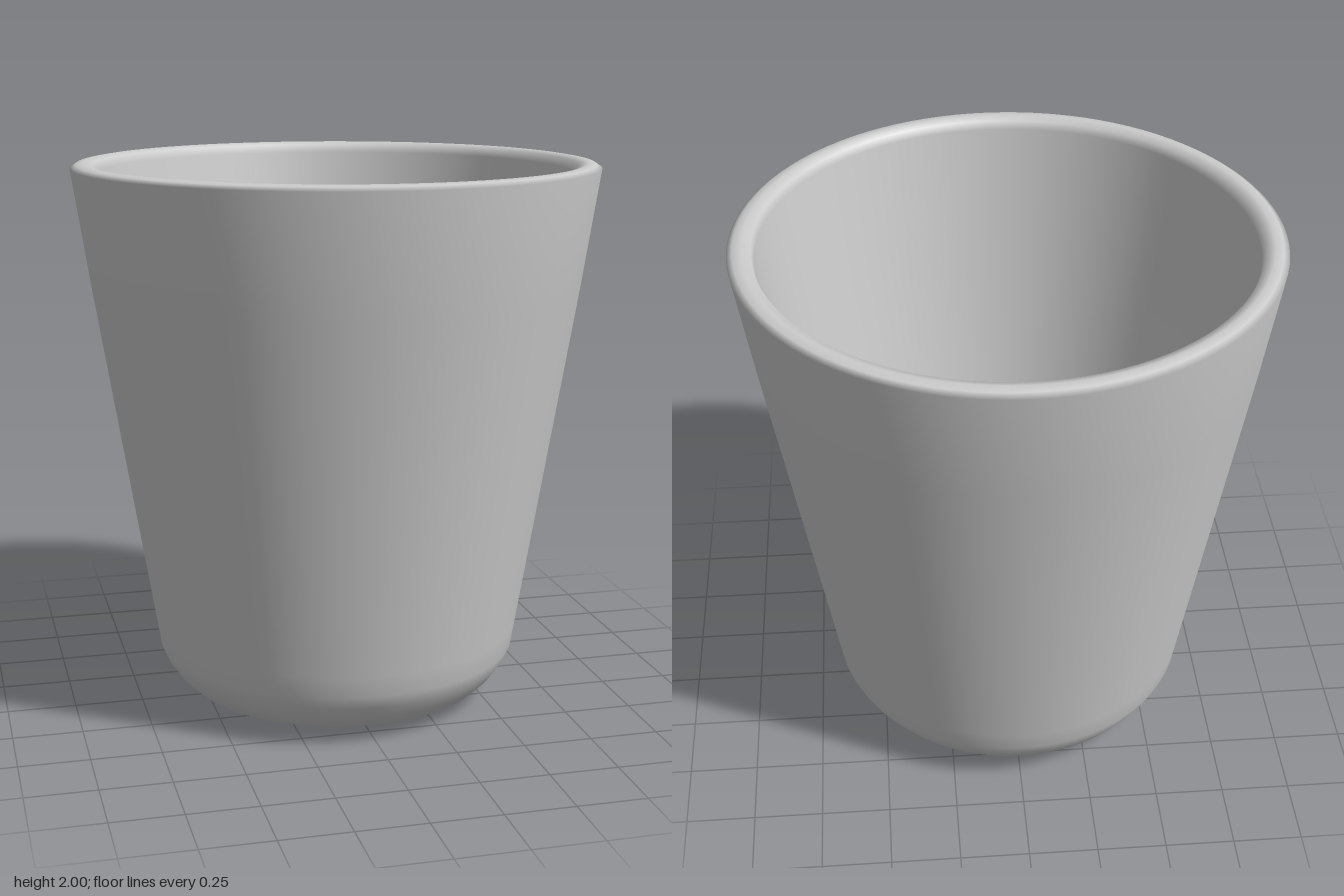
import * as THREE from 'three';

export function createModel() {
  const group = new THREE.Group();
  group.name = 'cup';

  // Closed cross-section: up the outside, over the rim, down to the inner floor
  const profile = [
    // rounded base
    [0, 0], [0.42, 0.012], [0.5, 0.025], [0.56, 0.052], [0.61, 0.1], [0.645, 0.15], [0.667, 0.2],
    // tapered outer wall
    [0.68, 0.28], [0.885, 1.55], [0.95, 1.982],
    // rim
    [0.93, 1.995], [0.9, 2], [0.868, 1.99],
    // inner wall and floor
    [0.858, 1.96], [0.805, 1.6], [0.585, 0.27], [0.568, 0.22], [0.52, 0.195], [0, 0.185],
  ].map(([r, y]) => new THREE.Vector2(r, y));

  const cup = new THREE.Mesh(
    new THREE.LatheGeometry(profile, 96),
    new THREE.MeshStandardMaterial({ color: 0xcccccc })
  );
  cup.name = 'cupBody';
  group.add(cup);
  return group;
}
